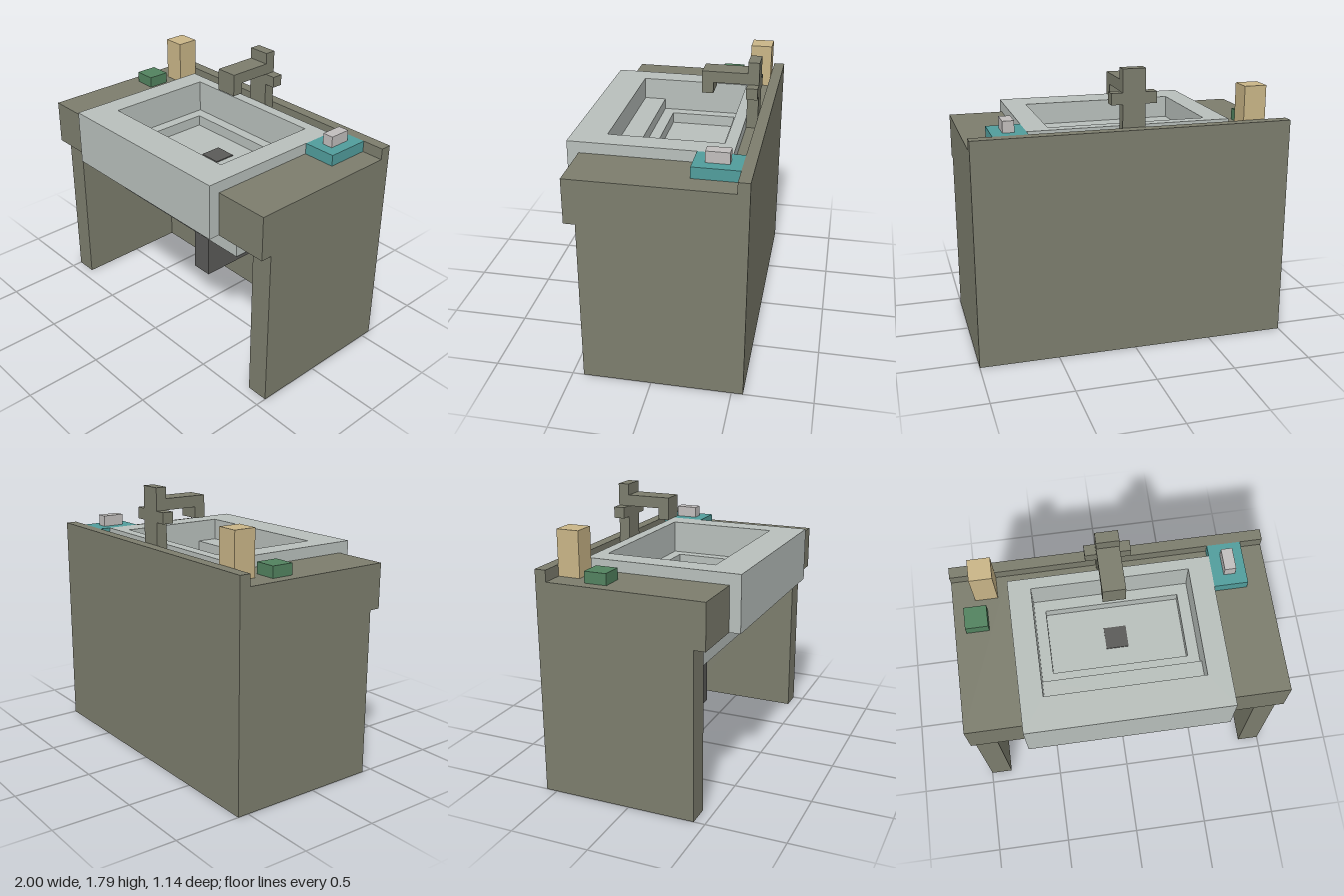
import * as THREE from 'three';

const U = 1 / 14; // one block of the modelling grid

export function createModel() {
  const model = new THREE.Group();
  model.name = 'washStand';
  const paint = (name, color) => {
    const m = new THREE.MeshStandardMaterial({ color });
    m.name = name;
    return m;
  };
  const olive = paint('olive', 0x7c7d6d);
  const ceramic = paint('ceramic', 0xb8bfbb);
  const darkGrey = paint('dark grey', 0x5a5a58);
  const tan = paint('tan', 0xc9b587);
  const green = paint('green', 0x52825f);
  const teal = paint('teal', 0x519d9c);
  const paleGrey = paint('pale grey', 0xc1bebd);

  const add = (name, geometry, material) => {
    const mesh = new THREE.Mesh(geometry, material);
    mesh.name = name;
    model.add(mesh);
  };
  // box given by its limits in grid blocks
  const box = (name, mat, [x0, x1], [y0, y1], [z0, z1]) => {
    const g = new THREE.BoxGeometry((x1 - x0) * U, (y1 - y0) * U, (z1 - z0) * U);
    g.translate((x0 + x1) / 2 * U, (y0 + y1) / 2 * U, (z0 + z1) / 2 * U);
    add(name, g, mat);
  };
  // horizontal slab with a rectangular hole, symmetric in x
  const rectangle = (path, hx, z0, z1) => path
    .moveTo(-hx * U, z0 * U).lineTo(hx * U, z0 * U)
    .lineTo(hx * U, z1 * U).lineTo(-hx * U, z1 * U).closePath();
  const frame = (name, mat, outer, hole, [y0, y1]) => {
    const shape = rectangle(new THREE.Shape(), ...outer);
    shape.holes.push(rectangle(new THREE.Path(), ...hole));
    const g = new THREE.ExtrudeGeometry(shape, { depth: (y1 - y0) * U, bevelEnabled: false });
    g.rotateX(Math.PI / 2).translate(0, y1 * U, 0);
    add(name, g, mat);
  };

  // cabinet
  box('backPanel', olive, [-14, 14], [0, 15], [-8, -5]);
  for (const [side, a, b, c] of [['right', -14, -12, -9], ['left', 14, 12, 9]]) {
    box(side + 'SidePanel', olive, [Math.min(a, b), Math.max(a, b)], [0, 15], [-5, 6]);
    box(side + 'Counter', olive, [Math.min(a, c), Math.max(a, c)], [15, 19], [-7, 7]);
  }
  box('rearCounter', olive, [-9, 9], [15, 19], [-7, -6]);
  box('backLedge', olive, [-14, 14], [15, 20], [-8, -7]);

  // basin, stepping inwards from the rim
  const rim = [9, -6, 8];
  frame('basinRim', ceramic, rim, [7, -5, 5], [18, 20]);
  frame('basinStep', ceramic, rim, [7, -5, 3], [17, 18]);
  frame('basinLowerStep', ceramic, rim, [6, -4, 2], [16, 17]);
  box('basinFloor', ceramic, [-9, 9], [15, 16], [-6, 8]);
  box('basinBody', ceramic, [-8, 8], [11, 15], [-6, 4]);
  box('basinBottom', ceramic, [-7, 7], [10, 11], [-5, 3]);
  box('drain', darkGrey, [-1, 1], [16, 16.1], [-2, 0]);

  // waste pipe running back to the wall
  box('drainFlange', darkGrey, [-2, 2], [9, 10], [-2, 2]);
  box('drainPipe', darkGrey, [-1, 1], [4, 9], [-1, 1]);
  box('wallPipe', darkGrey, [-1, 1], [4, 6], [-5, -1]);

  // tap
  box('tapColumn', olive, [-1, 1], [19, 25], [-7, -6]);
  for (const s of [-1, 1]) {
    box(s < 0 ? 'rightTapHandle' : 'leftTapHandle', olive,
      s < 0 ? [-2, -1] : [1, 2], [22, 23], [-7, -6]);
  }
  box('tapSpout', olive, [-1, 1], [23, 24], [-6, -2]);
  box('tapNozzle', olive, [-1, 1], [22, 23], [-3, -2]);

  // things on the counter
  box('bottle', tan, [-12, -10], [19, 23], [-7, -5]);
  box('sponge', green, [-13, -11], [19, 20], [-4, -2]);
  box('soapDish', teal, [9, 12], [19, 20], [-7, -3]);
  box('soap', paleGrey, [10, 11], [20, 21], [-6, -4]);

  return model;
}
